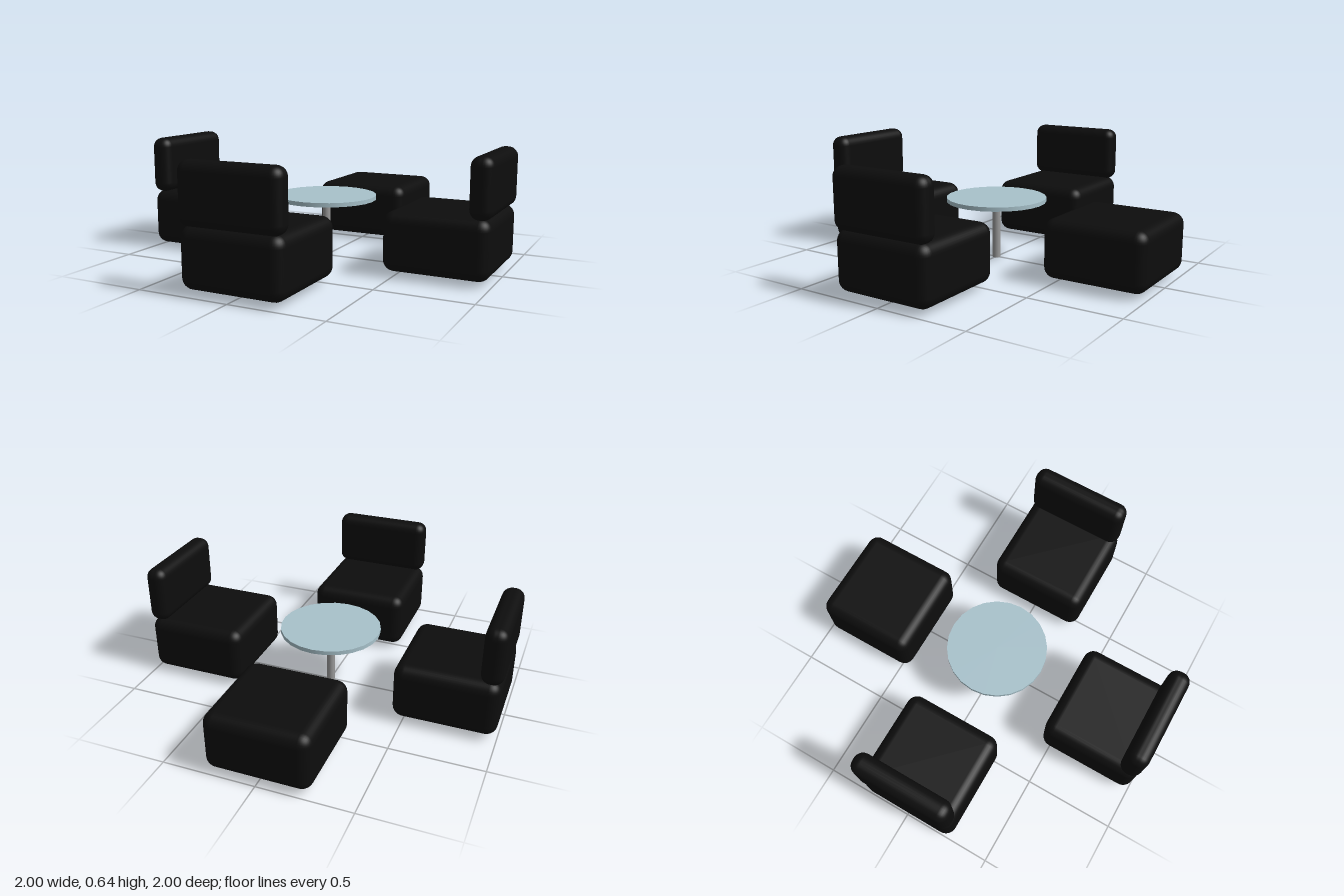
import * as THREE from 'three';
import { RoundedBoxGeometry } from 'three/addons/geometries/RoundedBoxGeometry.js';

export function createModel() {
  const upholstery = new THREE.MeshStandardMaterial({ name: 'black upholstery', color: 0x0d0d0d });
  const glass = new THREE.MeshStandardMaterial({ name: 'pale blue glass', color: 0xa8c2cb });
  const metal = new THREE.MeshStandardMaterial({ name: 'grey metal', color: 0x999999 });

  const model = new THREE.Group();
  model.name = 'loungeSet';

  const add = (parent, name, geometry, material, x, y, z) => {
    const mesh = new THREE.Mesh(geometry, material);
    mesh.name = name;
    mesh.position.set(x, y, z);
    parent.add(mesh);
    return mesh;
  };

  // Soft cushions shared by all seats
  const seatGeometry = new RoundedBoxGeometry(0.556, 0.312, 0.556, 4, 0.06);
  const backGeometry = new RoundedBoxGeometry(0.556, 0.312, 0.118, 4, 0.052);

  // Three chairs with backs on the outer side and one backless ottoman, around the table
  const places = [
    ['frontChair', 0, true],
    ['leftChair', Math.PI / 2, true],
    ['backOttoman', Math.PI, false],
    ['rightChair', -Math.PI / 2, true],
  ];
  for (const [name, angle, hasBack] of places) {
    const chair = new THREE.Group();
    chair.name = name;
    add(chair, 'seat', seatGeometry, upholstery, 0, 0.18, hasBack ? 0.717 : 0.721);
    if (hasBack) add(chair, 'backrest', backGeometry, upholstery, 0, 0.484, 0.941);
    chair.rotation.y = angle;
    model.add(chair);
  }

  // Round table on a single post
  const table = new THREE.Group();
  table.name = 'table';
  add(table, 'tableTop', new THREE.CylinderGeometry(0.278, 0.278, 0.023, 24), glass, 0, 0.336, 0);
  add(table, 'tablePost', new THREE.CylinderGeometry(0.023, 0.023, 0.325, 12), metal, 0, 0.1625, 0);
  model.add(table);

  return model;
}
